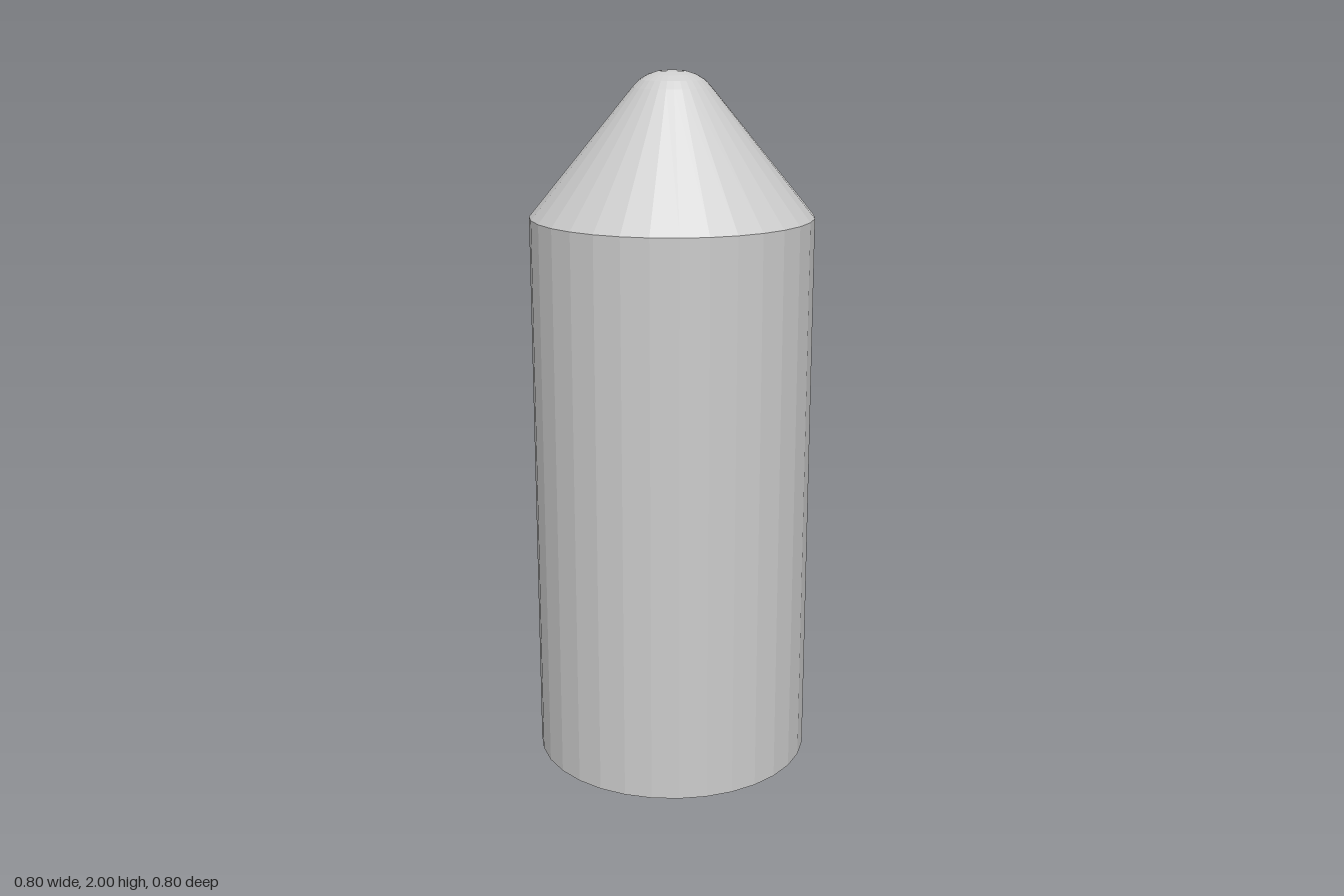
import * as THREE from 'three';

const SIDES = 32;
const material = new THREE.MeshStandardMaterial({ color: 0xcccccc, flatShading: true });

// Faceted solid of revolution from [radius, height] points, bottom to top
function turned(name, profile) {
  const points = profile.map(([r, y]) => new THREE.Vector2(r, y));
  const mesh = new THREE.Mesh(new THREE.LatheGeometry(points, SIDES), material);
  mesh.name = name;
  return mesh;
}

export function createModel() {
  const group = new THREE.Group();
  group.name = 'roundNosedCylinder';

  // Straight body, closed underneath
  group.add(turned('body', [[0, 0], [0.4, 0], [0.4, 1.6]]));

  // Conical nose with a rounded tip
  group.add(turned('nose', [
    [0.4, 1.6], [0.11, 1.953], [0.09, 1.974], [0.066, 1.988], [0.038, 1.997], [0, 2],
  ]));

  return group;
}
